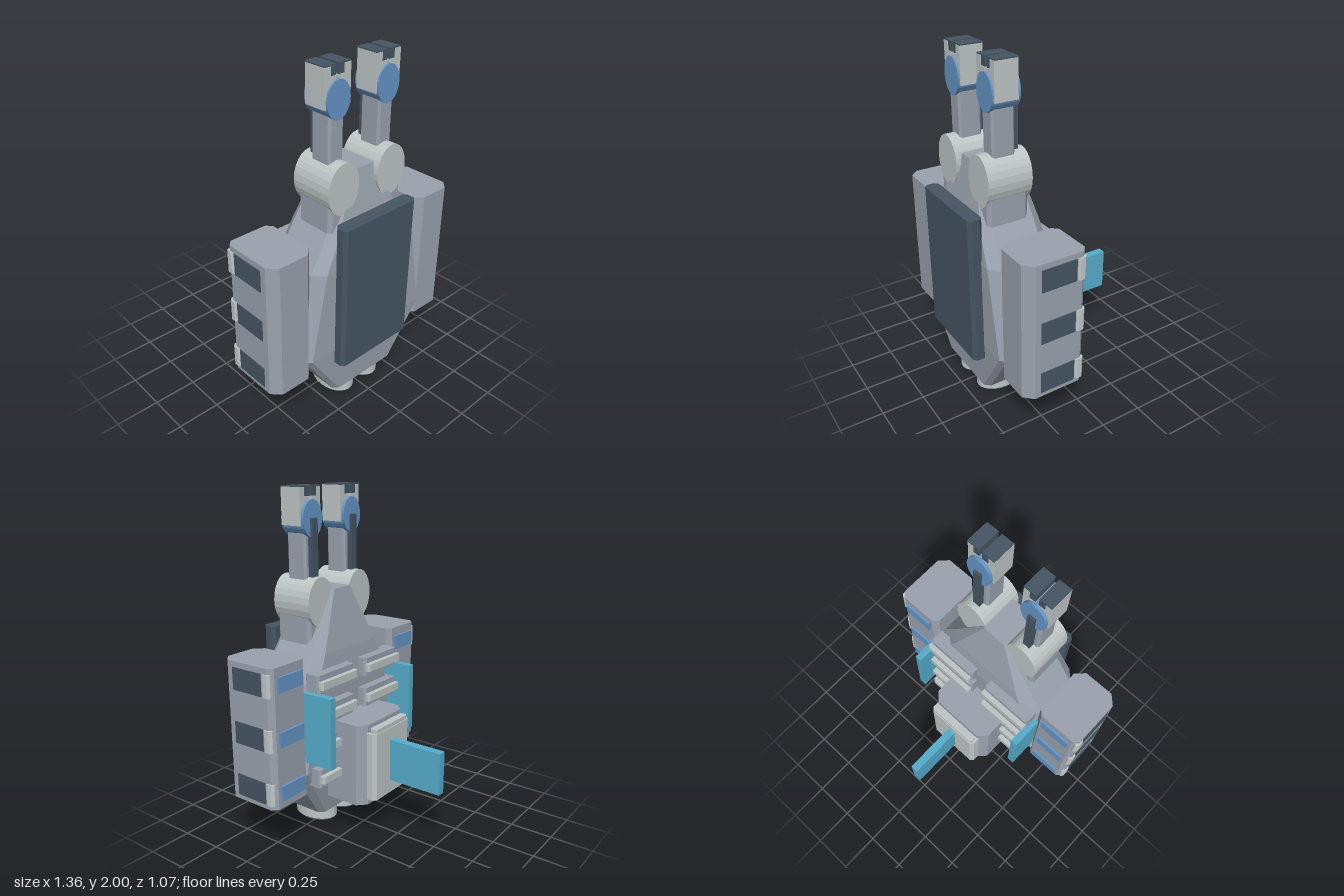
import * as THREE from 'three';

const mat = (name, color) => {
  const m = new THREE.MeshStandardMaterial({ color });
  m.name = name;
  return m;
};

export function createModel() {
  const root = new THREE.Group();
  root.name = 'spacecraft';
  const grey = mat('hullGrey', 0x9aa2ae);
  const light = mat('lightGrey', 0xbfc6c6);
  const dark = mat('darkSlate', 0x455562);
  const blue = mat('blue', 0x6596c8);
  const teal = mat('teal', 0x55adcb);

  const add = (parent, name, geometry, material) => {
    const flat = geometry.index ? geometry.toNonIndexed() : geometry;
    flat.computeVertexNormals();
    const m = new THREE.Mesh(flat, material);
    m.name = name;
    parent.add(m);
    return m;
  };

  // box from its limits on each axis
  const box = (parent, name, material, [x0, x1], [y0, y1], [z0, z1]) =>
    add(parent, name, new THREE.BoxGeometry(x1 - x0, y1 - y0, z1 - z0)
      .translate((x0 + x1) / 2, (y0 + y1) / 2, (z0 + z1) / 2), material);

  // stack of chamfered rectangles: [y, x0, x1, z0, z1, back chamfer, front chamfer]
  const loft = (parent, name, material, levels) => {
    const pos = [], idx = [], n = 8;
    for (const [y, x0, x1, z0, z1, b, f] of levels) {
      const ring = [[x1, z1 - f], [x1, z0 + b], [x1 - b, z0], [x0 + b, z0],
        [x0, z0 + b], [x0, z1 - f], [x0 + f, z1], [x1 - f, z1]];
      for (const [x, z] of ring) pos.push(x, y, z);
    }
    for (let l = 0; l < levels.length - 1; l++) {
      for (let i = 0; i < n; i++) {
        const a = l * n + i, b = l * n + (i + 1) % n;
        idx.push(a, b, b + n, a, b + n, a + n);
      }
    }
    const t = (levels.length - 1) * n;
    for (let i = 1; i < n - 1; i++) idx.push(0, i + 1, i, t, t + i, t + i + 1);
    const g = new THREE.BufferGeometry();
    g.setAttribute('position', new THREE.Float32BufferAttribute(pos, 3));
    g.setIndex(idx);
    return add(parent, name, g, material);
  };
  const prism = (parent, name, material, [x0, x1], [y0, y1], [z0, z1], b, f = b) =>
    loft(parent, name, material, [[y0, x0, x1, z0, z1, b, f], [y1, x0, x1, z0, z1, b, f]]);

  // elliptical drum lying along z
  const drumZ = (parent, name, material, x, y, rx, ry, z0, z1) =>
    add(parent, name, new THREE.CylinderGeometry(1, 1, z1 - z0, 24).rotateX(Math.PI / 2)
      .scale(rx, ry, 1).translate(x, y, (z0 + z1) / 2), material);

  // elliptical drum standing on y
  const drumY = (parent, name, material, x, z, rx, rz, y0, y1) =>
    add(parent, name, new THREE.CylinderGeometry(1, 1, y1 - y0, 24)
      .scale(rx, 1, rz).translate(x, (y0 + y1) / 2, z), material);

  // main hull and front panel
  loft(root, 'hull', grey, [
    [0.105, -0.235, 0.235, 0.135, 0.455, 0.03, 0.03],
    [0.435, -0.455, 0.455, 0.09, 0.472, 0.05, 0.03],
    [0.95, -0.385, 0.385, 0.08, 0.472, 0.08, 0.06],
    [1.1, -0.29, 0.29, 0.095, 0.455, 0.06, 0.05],
    [1.435, -0.08, 0.08, 0.155, 0.385, 0.01, 0.01],
  ]);
  prism(root, 'frontPanel', dark, [-0.262, 0.262], [0.345, 1.21], [0.452, 0.535], 0.02);

  // backpack with its cover plate and tail fin
  prism(root, 'backpack', grey, [-0.21, 0.21], [0.225, 0.715], [-0.148, 0.12], 0.05, 0.01);
  prism(root, 'backpackCover', light, [-0.172, 0.172], [0.265, 0.67], [-0.205, -0.14], 0.02, 0.005);
  prism(root, 'coverBar', light, [-0.155, 0.155], [0.67, 0.695], [-0.2, -0.155], 0.01);
  box(root, 'tailFin', teal, [-0.024, 0.024], [0.345, 0.595], [-0.535, -0.2]);

  for (const [side, s] of [['left', 1], ['right', -1]]) {
    const g = new THREE.Group();
    g.name = side + 'Side';
    root.add(g);
    const span = (a, b) => (s > 0 ? [a, b] : [-b, -a]);

    // side pod with windows, corner clamps and rear plates
    prism(g, 'sidePod', grey, span(0.388, 0.668), [0.32, 1.12], [0.093, 0.452], 0.03, 0.05);
    for (const y of [0.41, 0.72, 1.025]) {
      box(g, 'podWindow', dark, span(0.664, 0.673), [y - 0.063, y + 0.063], [0.16, 0.365]);
      prism(g, 'cornerClamp', light, span(0.64, 0.678), [y - 0.063, y + 0.063], [0.1, 0.158], 0.015);
      box(g, 'rearPlate', blue, span(0.435, 0.62), [y - 0.043, y + 0.043], [0.08, 0.1]);
    }

    // radiator ribs
    for (let i = 0; i < 4; i++) {
      const y = 0.41 + i * 0.185;
      prism(g, 'ribBase', grey, span(0.052, 0.37), [y - 0.055, y + 0.055], [0.03, 0.12], 0.015, 0.005);
      prism(g, 'ribCap', light, span(0.052, 0.37), [y - 0.022, y + 0.022], [0, 0.032], 0.01, 0.005);
    }
    box(g, 'sideFin', teal, span(0.36, 0.402), [0.51, 0.92], [-0.078, 0.113]);

    // arm
    const arm = new THREE.Group();
    arm.name = 'arm';
    g.add(arm);
    const x = 0.172 * s;
    prism(arm, 'armMount', grey, span(0.09, 0.262), [1.13, 1.38], [0.18, 0.42], 0.02);
    drumZ(arm, 'shoulder', light, x, 1.372, 0.106, 0.143, 0.166, 0.423);
    prism(arm, 'forearm', grey, span(0.122, 0.222), [1.38, 1.82], [0.233, 0.365], 0.012);
    box(arm, 'piston', dark, span(0.15, 0.194), [1.5, 1.83], [0.2, 0.24]);
    drumZ(arm, 'elbow', blue, x, 1.826, 0.077, 0.102, 0.215, 0.375);

    // two gripping fingers, mirrored about the arm
    for (const d of [1, -1]) {
      const at = (a, b) => (d > 0 ? [x + a, x + b] : [x - b, x - a]);
      box(arm, 'finger', light, at(0.012, 0.085), [1.79, 1.945], [0.233, 0.365]);
      box(arm, 'fingerTip', light, at(0.045, 0.085), [1.945, 1.993], [0.233, 0.365]);
      box(arm, 'fingerPad', dark, at(0.01, 0.045), [1.945, 1.995], [0.228, 0.36]);
      box(arm, 'fingerCap', dark, at(0.01, 0.084), [1.993, 2], [0.228, 0.362]);
    }

    // thruster
    drumY(g, 'thrusterCollar', dark, 0.1 * s, 0.295, 0.09, 0.13, 0.09, 0.11);
    drumY(g, 'thruster', light, 0.1 * s, 0.295, 0.099, 0.141, 0.02, 0.095);
    drumY(g, 'thrusterRim', dark, 0.1 * s, 0.295, 0.088, 0.125, 0.005, 0.025);
    drumY(g, 'thrusterCore', light, 0.1 * s, 0.295, 0.074, 0.106, 0, 0.01);
  }
  return root;
}
